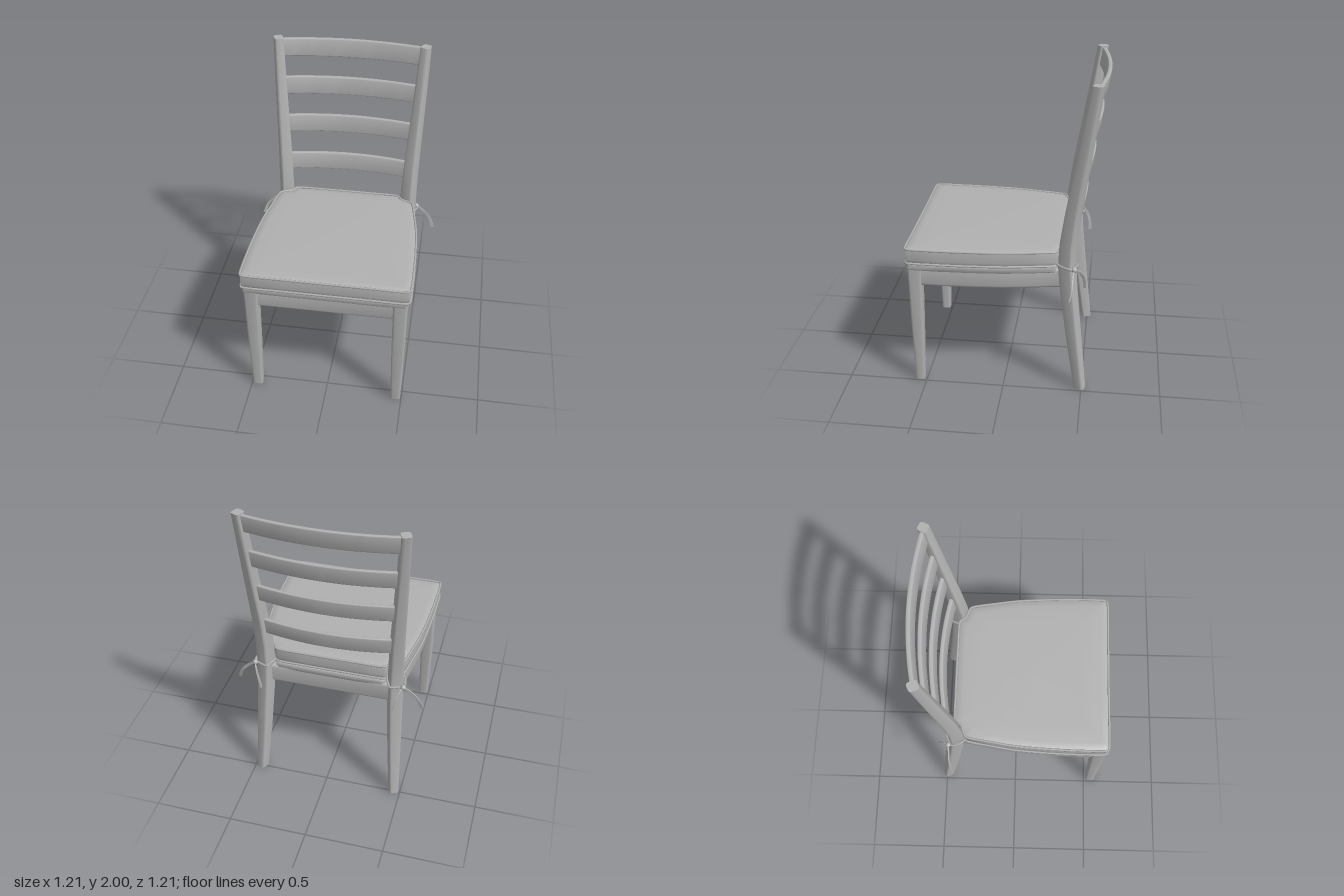
import * as THREE from 'three';
import { toCreasedNormals } from 'three/addons/utils/BufferGeometryUtils.js';

const V = (x, y, z) => new THREE.Vector3(x, y, z);

// Skin a list of equal-length rings, cap both ends and face everything outward
function loft(rings, crease = 0.6) {
  const n = rings[0].length, tris = [];
  const centre = (r) => r.reduce((a, p) => a.add(p), V(0, 0, 0)).divideScalar(n);
  const first = rings[0], last = rings[rings.length - 1];
  const c0 = centre(first), c1 = centre(last);
  for (let j = 0; j < n; j++) {
    const k = (j + 1) % n;
    for (let i = 0; i < rings.length - 1; i++) {
      const a = rings[i], b = rings[i + 1];
      tris.push([a[j], a[k], b[k]], [a[j], b[k], b[j]]);
    }
    tris.push([c0, first[k], first[j]], [c1, last[j], last[k]]);
  }
  let volume = 0;
  for (const [a, b, c] of tris) volume += a.clone().sub(c0).dot(b.clone().sub(c0).cross(c.clone().sub(c0)));
  const pos = [];
  for (const [a, b, c] of tris) for (const p of volume > 0 ? [a, b, c] : [a, c, b]) pos.push(p.x, p.y, p.z);
  const g = new THREE.BufferGeometry();
  g.setAttribute('position', new THREE.Float32BufferAttribute(pos, 3));
  return toCreasedNormals(g, crease);
}

// Rounded rectangle as [u, v] pairs
function roundRect(w, h, r, steps = 3) {
  const pts = [];
  [[1, 1], [-1, 1], [-1, -1], [1, -1]].forEach(([sx, sy], q) => {
    for (let i = 0; i <= steps; i++) {
      const a = (q + i / steps) * Math.PI / 2;
      pts.push([sx * (w / 2 - r) + r * Math.cos(a), sy * (h / 2 - r) + r * Math.sin(a)]);
    }
  });
  return pts;
}

// Back post stations: y, centre x, centre z, width, depth
const POST = [
  [0, 0.455, -0.49, 0.06, 0.065], [0.35, 0.437, -0.443, 0.076, 0.08], [0.7, 0.422, -0.4, 0.086, 0.09],
  [0.85, 0.419, -0.388, 0.087, 0.092], [1.0, 0.421, -0.392, 0.084, 0.09], [1.2, 0.428, -0.416, 0.08, 0.083],
  [1.6, 0.45, -0.477, 0.07, 0.072], [2, 0.471, -0.537, 0.058, 0.062],
];
function postAt(y) {
  let i = 0;
  while (i < POST.length - 2 && POST[i + 1][0] < y) i++;
  const t = (y - POST[i][0]) / (POST[i + 1][0] - POST[i][0]);
  return POST[i].map((v, k) => v + (POST[i + 1][k] - v) * t);
}
const YAW = 0.42;
function postRing([y, cx, cz, w, d], s, grow = 0, tilt = 0) {
  return roundRect(w + grow, d + grow, 0.014).map(([u, v]) => V(
    s * (cx + u * Math.cos(YAW) - v * Math.sin(YAW)), y + tilt * v,
    cz + u * Math.sin(YAW) + v * Math.cos(YAW)));
}

// Right half of the seat outline, front to back, as [x, z]
const HALF = [
  [0.25, 0.601], [0.505, 0.6], [0.519, 0.595], [0.524, 0.58], [0.526, 0.4], [0.52, 0.2], [0.506, 0], [0.482, -0.16],
  [0.452, -0.315], [0.44, -0.327], [0.372, -0.355], [0.358, -0.383], [0.34, -0.392], [0.17, -0.396],
];
const OUTLINE = [...HALF, ...HALF.slice().reverse().map(([x, z]) => [-x, z])];
const seatRing = (y, inset) => OUTLINE.map(([x, z]) =>
  V(x * (1 - inset / 0.52), y, 0.1 + (z - 0.1) * (1 - inset / 0.5)));
function seatX(z) {
  for (let i = 3; i < 8; i++) {
    const [x0, z0] = HALF[i], [x1, z1] = HALF[i + 1];
    if (z >= z1) return x0 + (x1 - x0) * (z0 - z) / (z0 - z1);
  }
  return 0.45;
}

export function createModel() {
  const model = new THREE.Group();
  model.name = 'diningChair';
  const grey = new THREE.MeshStandardMaterial({ color: 0xb0b0b0 });
  grey.name = 'plainGrey';
  const add = (name, geometry) => {
    const m = new THREE.Mesh(geometry, grey);
    m.name = name;
    model.add(m);
    return m;
  };
  const tube = (pts, r, closed, seg) => new THREE.TubeGeometry(
    new THREE.CatmullRomCurve3(pts, closed, 'centripetal'), seg, r, 6, closed);

  // Flat ribbon following a curve, its width lying square to the given axis
  const ribbon = (pts, axis, width) => {
    const curve = new THREE.CatmullRomCurve3(pts), rings = [];
    for (let i = 0; i <= 10; i++) {
      const p = curve.getPoint(i / 10);
      const side = curve.getTangent(i / 10).cross(axis).normalize().multiplyScalar(width * (0.35 + 0.015 * i));
      const thick = axis.clone().multiplyScalar(0.004);
      rings.push([[1, 1], [-1, 1], [-1, -1], [1, -1]].map(([a, b]) =>
        p.clone().addScaledVector(side, a).addScaledVector(thick, b)));
    }
    return loft(rings);
  };

  for (const s of [1, -1]) {
    const side = s > 0 ? 'left' : 'right';

    // Tapered front leg
    add(side + 'FrontLeg', loft([[0, 0.461, 0.545, 0.064, 0.058], [0.4, 0.463, 0.545, 0.08, 0.075],
      [0.82, 0.464, 0.546, 0.09, 0.088]].map(([y, cx, cz, w, d]) =>
      roundRect(w, d, 0.014).map(([u, v]) => V(s * (cx + u), y, cz + v)))));

    // Back leg and post in one bent piece
    add(side + 'BackPost', loft(POST.map((p) => postRing(p, s))));

    // Bowed side rail
    const rail = [];
    for (let i = 0; i <= 12; i++) {
      const z = 0.53 - i * 0.075;
      rail.push(roundRect(0.055, 0.13, 0.018).map(([u, v]) => V(s * (seatX(z) - 0.05 + u), 0.765 + v, z)));
    }
    add(side + 'SideRail', loft(rail));

    // Cushion tie: loop round the post, knot and two tails
    add(side + 'TieLoop', tube(postRing(postAt(0.86), s, 0.012, 0.15), 0.007, true, 48));
    add(side + 'TieString', tube([V(s * 0.447, 0.875, -0.325), V(s * 0.472, 0.868, -0.36),
      V(s * 0.484, 0.862, -0.4), V(s * 0.477, 0.855, -0.432)], 0.006, false, 12));
    const knot = add(side + 'TieKnot', new THREE.SphereGeometry(0.018, 12, 8));
    knot.position.set(s * 0.477, 0.855, -0.434);
    add(side + 'OuterTail', ribbon([V(s * 0.477, 0.855, -0.434), V(s * 0.525, 0.82, -0.43),
      V(s * 0.57, 0.77, -0.428), V(s * 0.597, 0.7, -0.415)], V(0, 0, 1), 0.02));
    add(side + 'BackTail', ribbon([V(s * 0.477, 0.855, -0.434), V(s * 0.46, 0.83, -0.468),
      V(s * 0.44, 0.78, -0.492), V(s * 0.425, 0.71, -0.498)], V(1, 0, 0), 0.02));
  }

  // Front and back rails
  for (const [name, half, z] of [['frontRail', 0.43, 0.55], ['backRail', 0.4, -0.38]]) {
    add(name, loft([-half, half].map((x) =>
      roundRect(0.055, 0.13, 0.018).map(([u, v]) => V(x, 0.765 + v, z + u)))));
  }

  // Seat board under the cushion
  const board = (y, inset) => seatRing(y, inset).map((p) => (p.z < -0.36 ? V(p.x, p.y, p.z - 0.022) : p));
  add('seatBoard', loft([board(0.81, 0.014), board(0.816, 0.01), board(0.846, 0.01), board(0.853, 0.014)]));

  // Cushion with soft sides and a slightly crowned top
  add('cushion', loft([seatRing(0.853, 0.012), seatRing(0.865, 0.004), seatRing(0.885, 0.002), seatRing(0.93, 0.002),
    seatRing(0.95, 0.005), seatRing(0.956, 0.014), seatRing(0.96, 0.05), seatRing(0.962, 0.15)], 0.8));

  // Piping round both cushion edges
  for (const [name, y] of [['lowerPiping', 0.861], ['upperPiping', 0.954]]) {
    add(name, tube(seatRing(y, 0.002), 0.0075, true, 220));
  }

  // Four curved ladder slats, leaning with the posts
  [1.155, 1.425, 1.685, 1.935].forEach((y, k) => {
    const [, px, pz] = postAt(y), rings = [];
    for (let i = 0; i <= 20; i++) {
      const t = i / 10 - 1;
      const z = pz - 0.005 - 0.05 * (1 - t * t);
      rings.push(roundRect(0.026, 0.115, 0.007).map(([u, v]) => V(t * px, y + v, z + u - 0.15 * v)));
    }
    add('backSlat' + (k + 1), loft(rings));
  });

  return model;
}
